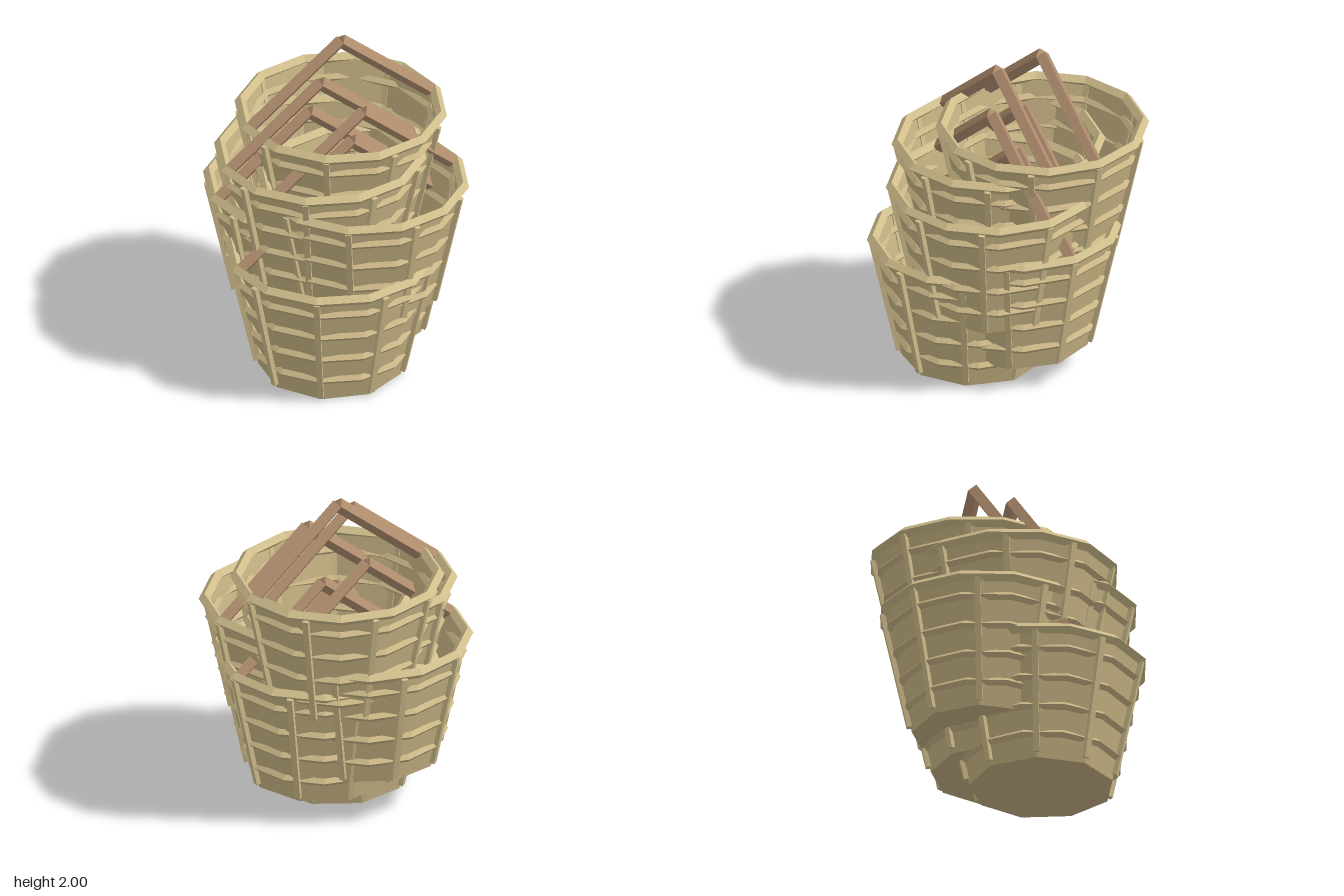
import * as THREE from 'three';

const wallMat = new THREE.MeshStandardMaterial({ color: 0xc9b686, flatShading: true, side: THREE.DoubleSide });
wallMat.name = 'wicker wall';
const rimMat = new THREE.MeshStandardMaterial({ color: 0xd0be8c, flatShading: true });
rimMat.name = 'pale wicker';
const woodMat = new THREE.MeshStandardMaterial({ color: 0xb08d6e, flatShading: true });
woodMat.name = 'brown wood';

const BOTTOM_R = 0.43, TOP_R = 0.6, HEIGHT = 0.77, SIDES = 9;
const radiusAt = (y) => BOTTOM_R + (TOP_R - BOTTOM_R) * (y / HEIGHT);

function add(parent, name, geometry, material) {
  const mesh = new THREE.Mesh(geometry, material);
  mesh.name = name;
  parent.add(mesh);
  return mesh;
}

// Angular hoop with a diamond section, lying flat
function hoop(radius, tube, y) {
  return new THREE.TorusGeometry(radius, tube, 4, 12).rotateX(Math.PI / 2).translate(0, y, 0);
}

// Straight four-sided bar between two points
function bar(parent, name, a, b, radius) {
  const dir = b.clone().sub(a);
  const mesh = add(parent, name, new THREE.CylinderGeometry(radius, radius, dir.length(), 4), woodMat);
  mesh.position.copy(a).add(b).multiplyScalar(0.5);
  mesh.rotation.z = Math.atan2(-dir.x, dir.y);
}

function createBasket() {
  const basket = new THREE.Group();

  // Tapered nine-sided wall and base
  add(basket, 'wall', new THREE.CylinderGeometry(TOP_R, BOTTOM_R, HEIGHT, SIDES, 1, true)
    .rotateY(Math.PI / 2).translate(0, HEIGHT / 2, 0), wallMat);
  add(basket, 'base', new THREE.CircleGeometry(BOTTOM_R, SIDES).rotateX(Math.PI / 2), wallMat);
  add(basket, 'floor', new THREE.CircleGeometry(BOTTOM_R, SIDES)
    .rotateX(-Math.PI / 2).translate(0, 0.02, 0), woodMat);

  // Woven hoops that show through the wall, and the rim
  for (const y of [0.145, 0.31, 0.48, 0.65]) {
    add(basket, 'wovenHoop', hoop(radiusAt(y) - 0.005, 0.025, y), wallMat);
  }
  add(basket, 'rim', hoop(0.597, 0.034, 0.766), rimMat);

  // Upright stakes on every corner of the wall
  const tilt = Math.atan2(TOP_R - BOTTOM_R, HEIGHT);
  for (let i = 0; i < SIDES; i++) {
    const stake = add(basket, 'stake', new THREE.BoxGeometry(0.035, 0.74, 0.035)
      .rotateZ(-tilt).translate(radiusAt(0.39) + 0.005, 0.39, 0), rimMat);
    stake.rotation.y = (i / SIDES) * Math.PI * 2;
  }

  // Peaked handle
  for (const side of [-1, 1]) {
    bar(basket, 'handleBar', new THREE.Vector3(side * 0.57, 0.765, 0), new THREE.Vector3(0, 1.232, 0), 0.043);
  }
  return basket;
}

export function createModel() {
  const model = new THREE.Group();
  model.name = 'basketStack';
  // Six nested baskets, staggered sideways and front to back
  for (let i = 0; i < 6; i++) {
    const basket = createBasket();
    basket.name = 'basket' + (i + 1);
    basket.position.set(i % 2 ? 0.1 : -0.1, i * 0.147, 0.175 * (1 - (i % 3)));
    model.add(basket);
  }
  return model;
}
